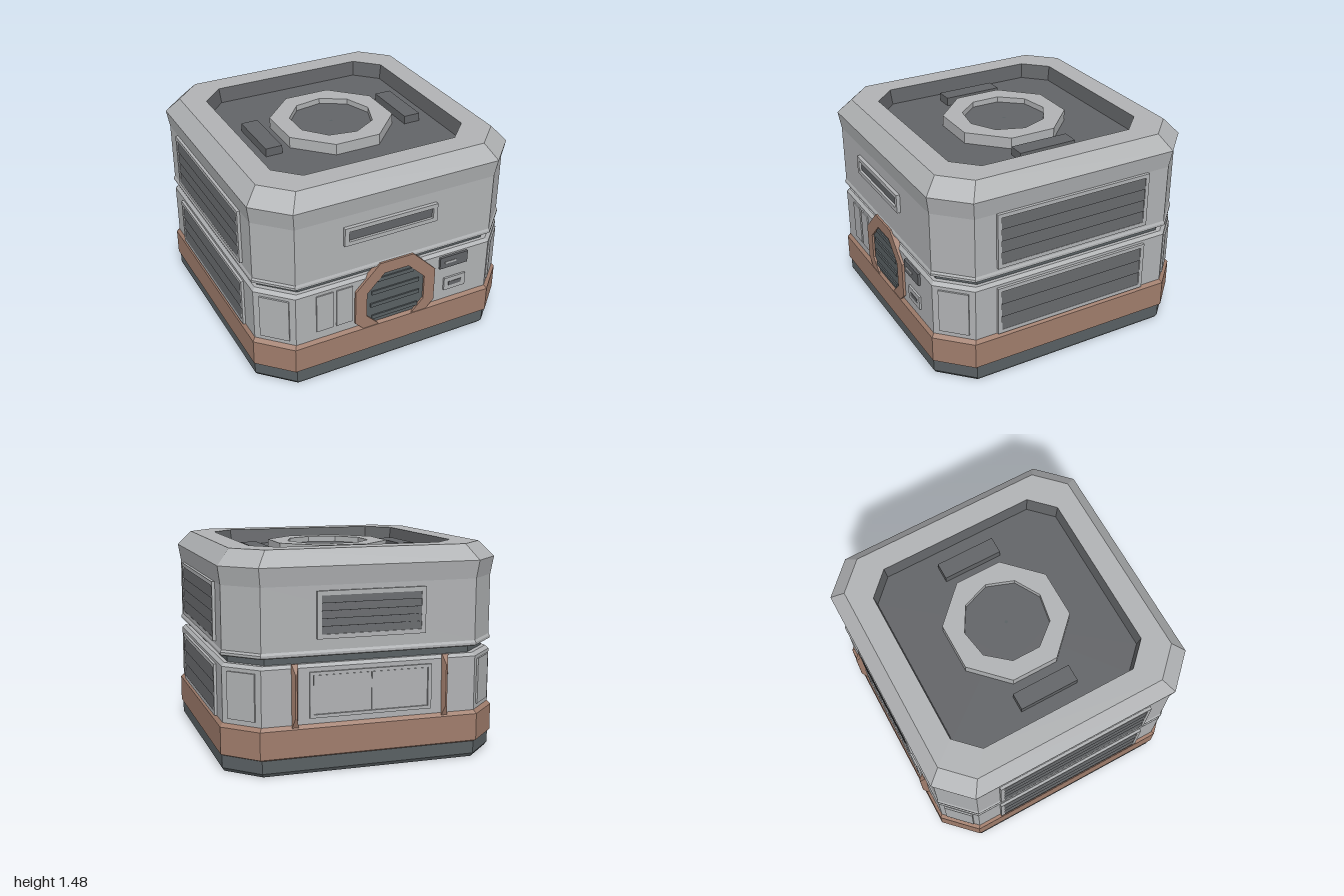
import * as THREE from 'three';

const mat = (name, color) => {
  const m = new THREE.MeshStandardMaterial({ color, side: THREE.DoubleSide, flatShading: true });
  m.name = name;
  return m;
};

export function createModel() {
  const light = mat('lightGrey', 0xb0b2b4);
  const dark = mat('darkGrey', 0x626467);
  const slate = mat('slate', 0x596063);
  const copper = mat('copper', 0xa07d6c);

  const root = new THREE.Group();
  root.name = 'storageModule';
  const body = new THREE.Group();
  body.name = 'body';
  body.position.z = 0.008;
  root.add(body);

  const add = (parent, name, geo, material, x = 0, y = 0, z = 0) => {
    const m = new THREE.Mesh(geo, material);
    m.name = name;
    m.position.set(x, y, z);
    parent.add(m);
    return m;
  };

  // Shell through chamfered-square rings, each [half width, chamfer start, y]
  const loft = (name, material, rings) => {
    const pos = [];
    const pts = rings.map(([h, c, y]) =>
      [[h, -c], [h, c], [c, h], [-c, h], [-h, c], [-h, -c], [-c, -h], [c, -h]]
        .map(([x, z]) => [x, y, z]));
    for (let r = 0; r < pts.length - 1; r++) {
      for (let i = 0; i < 8; i++) {
        const j = (i + 1) % 8;
        const a = pts[r][i], b = pts[r][j], c = pts[r + 1][j], d = pts[r + 1][i];
        pos.push(...a, ...d, ...c, ...a, ...c, ...b);
      }
    }
    const g = new THREE.BufferGeometry();
    g.setAttribute('position', new THREE.Float32BufferAttribute(pos, 3));
    g.computeVertexNormals();
    return add(body, name, g, material);
  };

  // Regular polygon points and an extruded plate with an optional hole
  const polygon = (n, r, turn = 0) => Array.from({ length: n }, (_, i) => {
    const a = turn + (i / n) * Math.PI * 2;
    return new THREE.Vector2(Math.cos(a) * r, Math.sin(a) * r);
  });
  const rect = (w, h) => [[-1, -1], [1, -1], [1, 1], [-1, 1]]
    .map(([x, y]) => new THREE.Vector2(x * w / 2, y * h / 2));
  const plate = (outer, hole, depth) => {
    const s = new THREE.Shape(outer);
    if (hole) s.holes.push(new THREE.Path(hole));
    return new THREE.ExtrudeGeometry(s, { depth, bevelEnabled: false });
  };

  // Main shell, bottom to top
  loft('baseSkirt', slate, [[0.96, 0.745, 0], [0.975, 0.755, 0.025], [0.975, 0.755, 0.115]]);
  loft('copperBand', copper, [[0.975, 0.755, 0.113], [0.986, 0.77, 0.122], [0.986, 0.77, 0.31], [0.966, 0.755, 0.335]]);
  loft('lowerBody', light, [[0.966, 0.755, 0.335], [0.966, 0.755, 0.715], [0.945, 0.74, 0.737], [0.92, 0.72, 0.737]]);
  loft('gapRing', slate, [[0.92, 0.72, 0.737], [0.92, 0.72, 0.785], [0.96, 0.75, 0.785]]);
  loft('upperBody', light, [[0.96, 0.75, 0.785], [0.972, 0.757, 0.793], [0.972, 0.757, 0.81], [0.964, 0.752, 0.825],
    [0.964, 0.752, 1.25], [0.983, 0.765, 1.375], [0.89, 0.7, 1.48], [0.73, 0.57, 1.48]]);
  loft('roofRecess', dark, [[0.73, 0.57, 1.48], [0.715, 0.56, 1.37], [0.001, 0.0005, 1.37]]);

  // Roof hatch and side blocks
  const oct = Math.PI / 8;
  const hatch = new THREE.Group();
  hatch.name = 'roofHatch';
  hatch.position.y = 1.37;
  hatch.rotation.x = -Math.PI / 2;
  body.add(hatch);
  add(hatch, 'hatchRing', plate(polygon(8, 0.44, oct), polygon(9, 0.3), 0.08), light);
  add(hatch, 'hatchDisc', plate(polygon(9, 0.302), null, 0.04), dark);
  add(hatch, 'hatchPin', new THREE.CircleGeometry(0.012, 6), slate, 0, 0, 0.042);
  for (const s of [-1, 1]) {
    add(body, 'roofBlock', new THREE.BoxGeometry(0.122, 0.06, 0.43), dark, s * 0.545, 1.4, 0);
  }

  // A group whose local +z points out of the chosen face
  const face = (name, angle) => {
    const g = new THREE.Group();
    g.name = name;
    g.rotation.y = angle;
    body.add(g);
    return g;
  };
  const slab = (g, name, material, x0, x1, y0, y1, z0, z1) =>
    add(g, name, new THREE.BoxGeometry(x1 - x0, y1 - y0, z1 - z0), material,
      (x0 + x1) / 2, (y0 + y1) / 2, (z0 + z1) / 2);

  // Framed louvre vent
  const vent = (g, x, w, y0, y1, count, rim, out) => {
    const h = y1 - y0, cy = (y0 + y1) / 2, iw = w - 2 * rim, ih = h - 2 * rim;
    add(g, 'ventFrame', plate(rect(w, h), rect(iw, ih), out - 0.96), light, x, cy, 0.96);
    slab(g, 'ventBack', slate, x - iw / 2, x + iw / 2, cy - ih / 2, cy + ih / 2, 0.966, 0.969);
    const pitch = ih / count;
    for (let i = 0; i < count; i++) {
      const m = add(g, 'louvre', new THREE.BoxGeometry(iw, pitch * 0.97, 0.006), dark,
        x, cy - ih / 2 + pitch * (i + 0.5), 0.976);
      m.rotation.x = -0.16;
    }
  };

  // Front
  const front = face('frontFace', 0);
  add(front, 'slotFrame', plate(rect(0.7, 0.135), rect(0.635, 0.075), 0.026), light, -0.055, 1.103, 0.964);
  slab(front, 'slotInset', dark, -0.373, 0.263, 1.065, 1.141, 0.966, 0.972);
  add(front, 'portRing', plate(polygon(8, 0.338, oct), polygon(8, 0.244, oct), 0.04), copper, -0.003, 0.503, 0.944);
  add(front, 'portDisc', plate(polygon(8, 0.245, oct), null, 0.02), slate, -0.003, 0.503, 0.949);
  [[0.68, 0.28], [0.582, 0.37], [0.48, 0.385], [0.377, 0.36]].forEach(([y, w]) =>
    slab(front, 'portSlat', slate, -0.003 - w / 2, -0.003 + w / 2, y - 0.015, y + 0.015, 0.969, 0.979));
  slab(front, 'accessPanel', light, -0.605, -0.48, 0.4, 0.69, 0.966, 0.975);
  slab(front, 'accessPanel', light, -0.455, -0.335, 0.4, 0.69, 0.966, 0.975);
  slab(front, 'display', dark, 0.35, 0.575, 0.612, 0.703, 0.966, 0.984);
  slab(front, 'displayBar', light, 0.388, 0.482, 0.648, 0.664, 0.984, 0.987);
  slab(front, 'keySlotFrame', light, 0.395, 0.57, 0.415, 0.515, 0.966, 0.98);
  slab(front, 'keySlot', dark, 0.43, 0.535, 0.448, 0.48, 0.98, 0.983);

  // Sides
  for (const s of [-1, 1]) {
    const side = face(s > 0 ? 'leftFace' : 'rightFace', s * Math.PI / 2);
    const x = -s * 0.008;
    vent(side, x, 1.175, 0.85, 1.25, 4, 0.028, 0.985);
    vent(side, x, 1.175, 0.337, 0.695, 3, 0.028, 0.985);
  }

  // Back
  const back = face('backFace', Math.PI);
  vent(back, 0, 0.76, 0.9, 1.215, 5, 0.03, 0.982);
  add(back, 'backPanelFrame', plate(rect(0.86, 0.31), rect(0.81, 0.265), 0.014), light, 0, 0.53, 0.966);
  for (const s of [-1, 1]) {
    slab(back, 'backPanel', light, s * 0.202 - 0.199, s * 0.202 + 0.199, 0.4, 0.66, 0.966, 0.974);
    // Ridged copper strip tapering at both ends
    const strip = new THREE.Shape([[0.96, 0.32], [0.978, 0.32], [1.006, 0.39], [1.006, 0.68], [0.972, 0.745], [0.96, 0.745]]
      .map(([x, y]) => new THREE.Vector2(x, y)));
    const g = new THREE.ExtrudeGeometry(strip, { depth: 0.045, bevelEnabled: false });
    g.translate(0, 0, -0.0225);
    const p = g.attributes.position;
    for (let i = 0; i < p.count; i++) {
      if (p.getX(i) > 0.99) p.setZ(i, p.getZ(i) * 0.25);
    }
    g.rotateY(-Math.PI / 2);
    g.computeVertexNormals();
    add(back, 'backStrip', g, copper, s * 0.53, 0, 0);
  }

  // Corner panels
  for (let i = 0; i < 4; i++) {
    const corner = face('cornerFace', Math.PI / 4 + i * Math.PI / 2);
    const d = (0.966 + 0.755) / Math.SQRT2;
    slab(corner, 'cornerPanel', light, -0.105, 0.105, 0.37, 0.69, d, d + 0.012);
  }
  return root;
}
